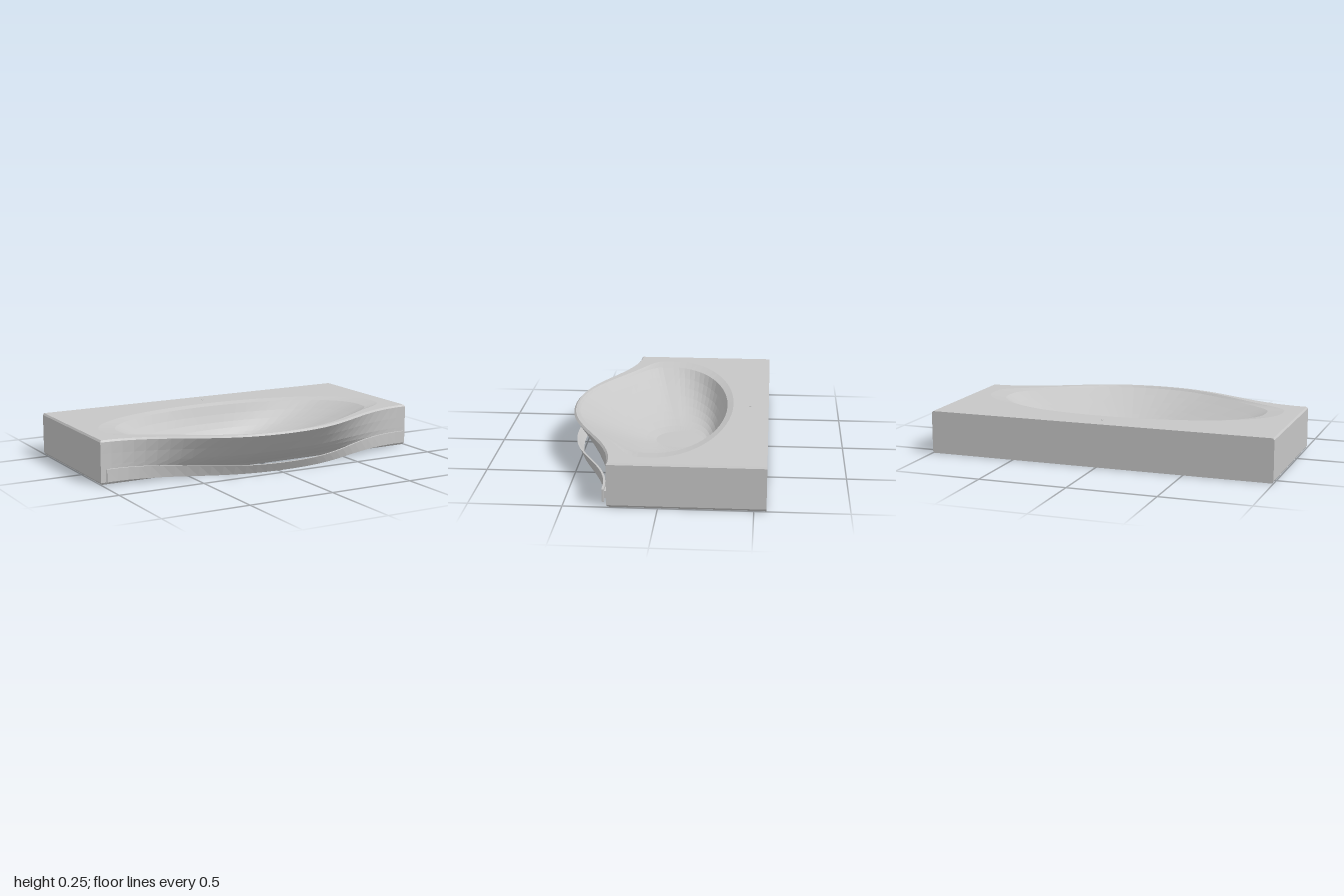
import * as THREE from 'three';

const N = 32; // samples along the front
const V = (x, y, z) => new THREE.Vector3(x, y, z);
const grey = new THREE.MeshStandardMaterial({ color: 0xc6c6c6 });
grey.name = 'ceramic grey';

// Front bulge: 1 at the middle, 0 at the ends
function bulge(x) {
  const u = Math.min(1, Math.abs(x));
  return Math.cos(u * Math.PI / 2) ** 2 * (1 + 0.1 * Math.sin(u * Math.PI) ** 2);
}
const frontZ = (x, k = 1) => 0.268 + 0.29 * k * bulge(x);

// Faceted skin over closed rows of points
function loft(rows) {
  const pos = [];
  const tri = (a, b, c) => {
    if (b.clone().sub(a).cross(c.clone().sub(a)).length() < 1e-9) return;
    for (const p of [a, b, c]) pos.push(p.x, p.y, p.z);
  };
  for (let i = 0; i < rows.length - 1; i++) {
    const n = rows[i].length;
    for (let j = 0; j < n; j++) {
      const k = (j + 1) % n;
      tri(rows[i][j], rows[i][k], rows[i + 1][k]);
      tri(rows[i][j], rows[i + 1][k], rows[i + 1][j]);
    }
  }
  const g = new THREE.BufferGeometry();
  g.setAttribute('position', new THREE.Float32BufferAttribute(pos, 3));
  g.computeVertexNormals();
  return g;
}

// Outer outline at one height: curved front, square back
function outline(y, k, inset) {
  const pts = [];
  for (let i = 0; i <= N; i++) {
    const x = -1 + 2 * i / N;
    pts.push(V(x * (1 - inset), y, frontZ(x, k) - inset));
  }
  pts.push(V(1 - inset, y, -0.565), V(-1 + inset, y, -0.565));
  return pts;
}

// Bowl rim: half ellipse behind, following the front edge before
function rim(y, a, b, inset) {
  const pts = [];
  for (let i = 0; i < 2 * N; i++) {
    const t = i / N * Math.PI, s = Math.sin(t), x = a * Math.cos(t);
    const z = s >= 0
      ? 0.05 + (frontZ(x) - inset - 0.05) * Math.sqrt(Math.max(0, s))
      : 0.05 + b * s;
    pts.push(V(x, y, z));
  }
  return pts;
}

export function createModel() {
  const group = new THREE.Group();
  const add = (name, geometry) => {
    const mesh = new THREE.Mesh(geometry, grey);
    mesh.name = name;
    group.add(mesh);
    return mesh;
  };

  // Underside and outer walls: height, bulge, inset
  const levels = [
    [0, 0, 0.008], [0.012, 0.05, 0], [0.025, 0.11, 0], [0.05, 0.28, 0], [0.08, 0.45, 0],
    [0.11, 0.59, 0], [0.17, 0.8, 0], [0.235, 1.02, 0], [0.245, 1.01, 0.008],
  ].map((l) => outline(...l));
  add('outerBody', loft([levels[0].map(() => V(0, 0, 0)), ...levels]));

  // Flat top around the bowl opening
  const shoulder = rim(0.245, 0.9, 0.41, 0.016);
  const flat = (p) => new THREE.Vector2(p.x, -p.z);
  const shape = new THREE.Shape(levels[levels.length - 1].map(flat));
  shape.holes.push(new THREE.Path(shoulder.map(flat)));
  const top = new THREE.ShapeGeometry(shape);
  top.rotateX(-Math.PI / 2);
  top.translate(0, 0.245, 0);
  add('topDeck', top);

  // Bowl: round floor, steep back wall, gentle front slope, soft shoulder
  const floorY = 0.03, lipY = 0.233;
  const lip = rim(lipY, 0.8, 0.375, 0.028);
  const rows = [lip.map(() => V(0, floorY, -0.05))];
  for (let r = 0; r <= 8; r++) {
    const s = r / 8;
    rows.push(lip.map((p, i) => {
      const t = i / N * Math.PI, sin = Math.sin(t);
      const power = sin < 0 ? 1.6 - 0.7 * sin : 1.6 - 0.35 * sin;
      const q = V(0.14 * Math.cos(t), 0, -0.05 + 0.14 * sin).lerp(p, s);
      q.y = floorY + (lipY - floorY) * s ** power;
      return q;
    }));
  }
  rows.push(shoulder);
  add('bowl', loft(rows));

  // Towel rail: thin band bowed along the front
  const bands = [];
  for (let i = 0; i <= N; i++) {
    const x = 0.975 * (-1 + 2 * i / N), f = bulge(x / 0.94);
    const yTop = 0.09 - 0.02 * f, zTop = 0.295 + 0.255 * f, zLow = 0.295 + 0.225 * f;
    bands.push([V(x, yTop, zTop), V(x, 0.02, zLow), V(x, 0.02, zLow - 0.012), V(x, yTop, zTop - 0.012)]);
  }
  const cap = (band) => {
    const c = band.reduce((sum, p) => sum.add(p), V(0, 0, 0)).multiplyScalar(0.25);
    return band.map(() => c);
  };
  add('towelRail', loft([cap(bands[0]), ...bands, cap(bands[N])]));

  // Rail mounts at both ends
  for (const side of [-1, 1]) {
    add('railMount', new THREE.BoxGeometry(0.06, 0.04, 0.025)).position.set(side * 0.93, 0.055, 0.277);
  }

  // Small tap mark on the deck
  add('tapMark', new THREE.CylinderGeometry(0.006, 0.006, 0.006, 12)).position.set(0, 0.245, -0.46);
  return group;
}
